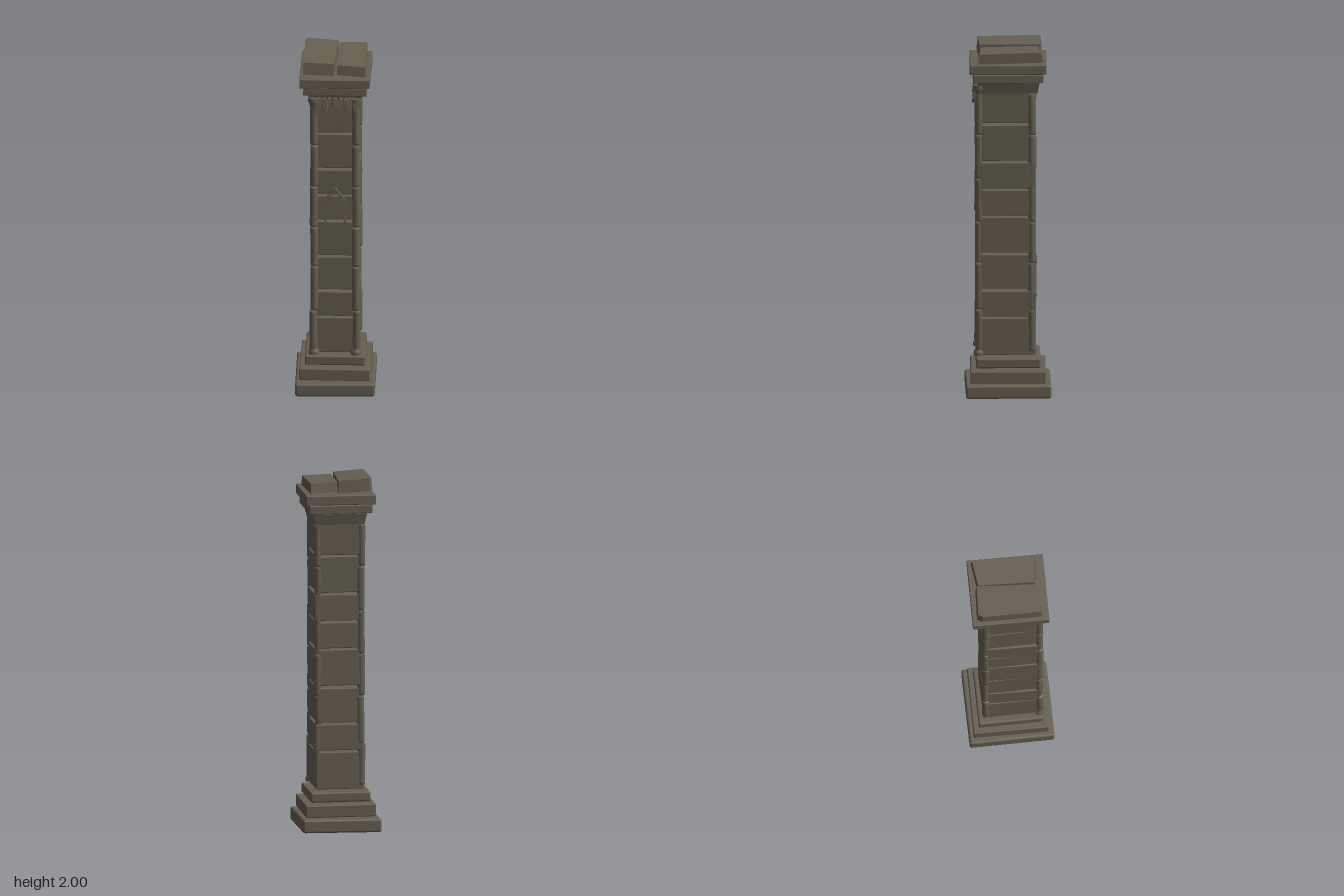
import * as THREE from 'three';
import { RoundedBoxGeometry } from 'three/addons/geometries/RoundedBoxGeometry.js';

export function createModel() {
  const group = new THREE.Group();
  group.name = 'ruinedPillar';
  const stone = new THREE.MeshStandardMaterial({ color: 0x665e50 });
  stone.name = 'weathered stone';
  const add = (name, geometry) => {
    const mesh = new THREE.Mesh(geometry, stone);
    mesh.name = name;
    group.add(mesh);
    return mesh;
  };

  // Worn stone slab between two heights, slightly tilted
  const slab = (name, y0, y1, hx, hz, r = 0.006, tilt = [0, 0, 0], x = 0, z = 0) => {
    const mesh = add(name, new RoundedBoxGeometry(hx * 2, y1 - y0, hz * 2, 3, r));
    mesh.position.set(x, (y0 + y1) / 2, z);
    mesh.rotation.set(...tilt);
  };

  // Stepped plinth
  slab('plinthBottom', 0.007, 0.083, 0.222, 0.238, 0.013, [0.004, 0.008, 0.01]);
  slab('plinthMiddle', 0.092, 0.161, 0.197, 0.21, 0.006, [0, -0.006, -0.006]);
  slab('plinthTop', 0.172, 0.229, 0.168, 0.18, 0.01, [0, 0.004, -0.004]);

  // Shaft courses: bottom, top, half width, half depth, tilt x, yaw, tilt z
  const courses = [
    [0.241, 0.451, 0.134, 0.153, 0.006, 0.01, 0.004],
    [0.461, 0.607, 0.135, 0.155, 0.006, -0.012, -0.006],
    [0.619, 0.814, 0.131, 0.152, -0.006, 0.01, 0.005],
    [0.827, 1.03, 0.136, 0.153, 0.004, -0.008, -0.004],
    [1.039, 1.184, 0.134, 0.151, -0.004, 0.012, 0.004],
    [1.194, 1.341, 0.138, 0.153, 0.004, -0.012, 0.004],
    [1.352, 1.556, 0.131, 0.149, 0.006, 0.014, -0.005],
    [1.566, 1.755, 0.132, 0.152, -0.004, -0.008, 0.004],
  ];
  courses.forEach(([y0, y1, hx, hz, ...tilt]) => slab('shaftBlock', y0, y1, hx, hz, 0.005, tilt));

  // Flared neck below the capital
  const neck = new THREE.BoxGeometry(0.3, 0.062, 0.35);
  const np = neck.attributes.position;
  for (let i = 0; i < np.count; i++) {
    if (np.getY(i) < 0) np.setXYZ(i, np.getX(i) * 0.91, np.getY(i), np.getZ(i) * 0.93);
  }
  neck.computeVertexNormals();
  add('neck', neck).position.y = 1.77;

  // Stepped capital
  slab('capitalLower', 1.806, 1.852, 0.177, 0.196, 0.004, [0, 0.005, -0.004]);
  slab('capitalUpper', 1.857, 1.911, 0.196, 0.214, 0.005, [0.003, -0.007, 0.004]);

  // Broken top stone: prism with its own outline and a sloping top
  const brokenHalf = (name, outline, bottom, top, slopeX, slopeZ) => {
    const shape = new THREE.Shape(outline.map(([x, z]) => new THREE.Vector2(x, -z)));
    const g = new THREE.ExtrudeGeometry(shape, { depth: 1, bevelEnabled: false });
    g.rotateX(-Math.PI / 2);
    const p = g.attributes.position;
    for (let i = 0; i < p.count; i++) {
      const x = p.getX(i), z = p.getZ(i), up = p.getY(i) > 0.5;
      p.setY(i, (up ? top : bottom) + slopeX * x + slopeZ * z);
      if (up) p.setXYZ(i, x * 0.985, p.getY(i), z * 0.96);
    }
    g.computeVertexNormals();
    add(name, g);
  };
  brokenHalf('topStoneLeft',
    [[-0.179, 0.174], [-0.007, 0.164], [0.012, -0.182], [-0.163, -0.19], [-0.179, -0.165]], 1.917, 1.986, -0.06, -0.015);
  brokenHalf('topStoneRight',
    [[0.01, 0.155], [0.17, 0.169], [0.17, -0.192], [0.018, -0.172]], 1.922, 1.978, -0.035, -0.03);

  // Corner colonnettes made of worn, slightly shifted drums
  const joints = [0.262, 0.502, 0.768, 1.005, 1.25, 1.5, 1.74];
  for (const [cx, cz] of [[-0.117, 0.163], [0.117, 0.163], [-0.12, -0.137], [0.12, -0.132]]) {
    for (let i = 0; i < joints.length - 1; i++) {
      const h = joints[i + 1] - joints[i] - 0.004;
      const shift = 0.0025 * Math.sin(i * 2.3 + cx * 40 + cz * 17);
      const profile = [[0, 0], [0.019, 0], [0.022, 0.012], [0.0215, h * 0.5], [0.022, h - 0.012], [0.019, h], [0, h]];
      const drum = add('colonnetteDrum',
        new THREE.LatheGeometry(profile.map(([r, y]) => new THREE.Vector2(r, y)), 14));
      drum.position.set(cx + shift, joints[i] + 0.002, cz - shift);
      drum.rotation.set(shift * 3, i, -shift * 4);
    }
    if (cz < 0) continue;
    // Ring base and capital of the front colonnettes
    for (const [y0, y1, r0, r1] of [[0.238, 0.256, 0.031, 0.03], [0.256, 0.272, 0.03, 0.023],
      [1.732, 1.762, 0.023, 0.03], [1.762, 1.785, 0.033, 0.034]]) {
      const ring = add('colonnetteRing', new THREE.CylinderGeometry(r1, r0, y1 - y0, 14));
      ring.position.set(cx, (y0 + y1) / 2, cz);
    }
  }

  // Carved leaves under the capital: x, tip height, width, lean
  const leaves = [[-0.088, 1.685, 0.034, -0.15], [-0.062, 1.705, 0.03, 0.2], [-0.03, 1.715, 0.032, -0.25],
    [0.0, 1.725, 0.03, 0.15], [0.032, 1.7, 0.034, -0.1], [0.058, 1.712, 0.03, 0.22],
    [0.084, 1.69, 0.032, -0.12], [0.108, 1.685, 0.028, 0.15]];
  leaves.forEach(([x, tip, w, lean], i) => {
    const h = 1.785 - tip;
    const s = new THREE.Shape();
    s.moveTo(-w * 0.25, 0);
    s.quadraticCurveTo(-w * 0.8, -h * 0.6, 0, -h);
    s.quadraticCurveTo(w * 0.7, -h * 0.5, w * 0.25, 0);
    const leaf = add('carvedLeaf', new THREE.ExtrudeGeometry(s, {
      depth: 0.012, bevelEnabled: true, bevelSize: 0.003, bevelThickness: 0.004, bevelSegments: 2, curveSegments: 6,
    }));
    leaf.position.set(x, 1.785, 0.17 + (i % 2) * 0.006);
    leaf.rotation.set(-0.1, 0, lean);
  });

  // Pointed arch moulding on the front, made of straight bars
  const bar = (name, x0, y0, x1, y1, w, z) => {
    const mesh = add(name, new THREE.BoxGeometry(w, Math.hypot(x1 - x0, y1 - y0), 0.022));
    mesh.position.set((x0 + x1) / 2, (y0 + y1) / 2, z);
    mesh.rotation.z = -Math.atan2(x1 - x0, y1 - y0);
  };
  for (const s of [-1, 1]) {
    bar('archLeg', s * 0.058, 0.937, s * 0.058, 1.03, 0.014, 0.159);
    bar('archLeg', s * 0.055, 1.02, s * 0.05, 1.17, 0.012, 0.16);
    bar('archSlope', s * 0.052, 1.15, s * 0.033, 1.195, 0.013, 0.161);
    bar('archSlope', s * 0.036, 1.185, s * -0.002, 1.236, 0.012, 0.162);
  }

  // Thin zigzag cracks on the front
  const crack = (points) => {
    for (let i = 0; i < points.length - 1; i++) bar('crack', ...points[i], ...points[i + 1], 0.005, 0.146);
  };
  crack([[0.045, 1.685], [0.058, 1.66], [0.046, 1.64], [0.06, 1.605]]);
  crack([[0.045, 0.59], [0.055, 0.565], [0.042, 0.54], [0.06, 0.52], [0.052, 0.5]]);

  return group;
}
